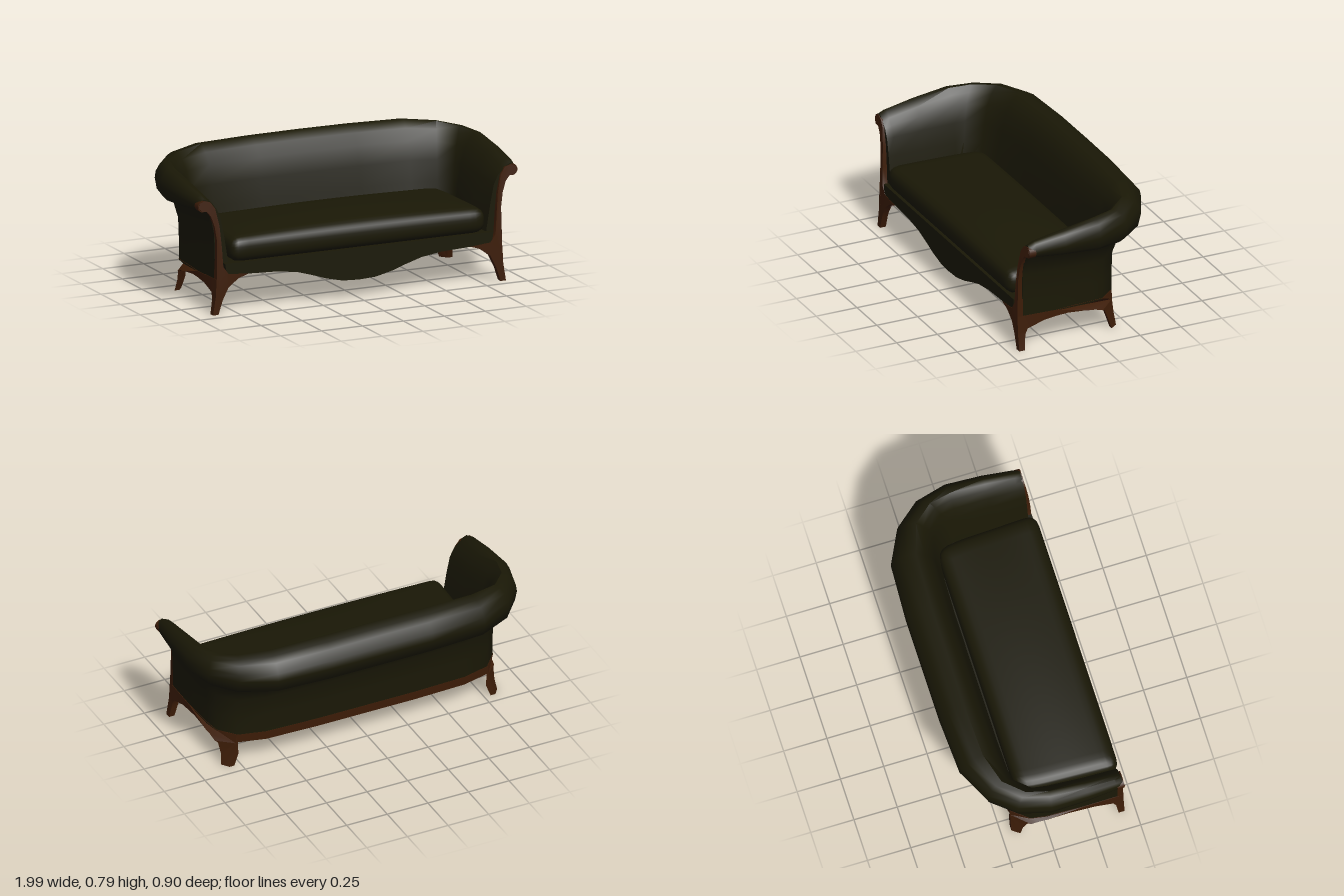
import * as THREE from 'three';
import { mergeVertices, toCreasedNormals } from 'three/addons/utils/BufferGeometryUtils.js';

// Half of the U-shaped plan: x, z, outward angle (degrees), roll width blend, roll height blend
const HALF = [
  [0.87, 0.41, 0, -0.05, -0.18], [0.87, 0.37, 0, 0, 0], [0.87, 0.2, 0, 0.15, 0.3],
  [0.865, 0, 5, 0.25, 0.59], [0.85, -0.09, 47, 0.35, 0.67], [0.77, -0.185, 68, 0.52, 0.79],
  [0.61, -0.225, 83, 0.95, 0.93], [0.3, -0.235, 88, 1, 0.98], [0, -0.235, 90, 1, 1],
];
const PATH = [...HALF, ...HALF.slice(0, -1).reverse().map(([x, z, a, w, h]) => [-x, z, 180 - a, w, h])];

// Upholstery cross-sections (outward offset, height), from inner foot over the roll to outer foot
const ARM = [[-0.09, 0.2], [-0.08, 0.3], [-0.055, 0.45], [-0.035, 0.55], [-0.01, 0.61], [0.02, 0.645],
  [0.045, 0.67], [0.07, 0.677], [0.09, 0.665], [0.102, 0.645], [0.105, 0.62], [0.1, 0.6],
  [0.085, 0.588], [0.06, 0.587], [0.03, 0.565], [0.005, 0.45], [0, 0.3], [0, 0.19]];
const BACK = [[-0.105, 0.2], [-0.09, 0.3], [-0.065, 0.45], [-0.045, 0.57], [-0.02, 0.68], [0.02, 0.745],
  [0.07, 0.785], [0.125, 0.775], [0.165, 0.75], [0.205, 0.7], [0.215, 0.655], [0.19, 0.575],
  [0.135, 0.54], [0.085, 0.535], [0.05, 0.51], [0.005, 0.42], [0, 0.3], [0, 0.19]];

const lerp = THREE.MathUtils.lerp;

// Sweeps a closed section along plan stations and caps both ends
function sweep(stations, section) {
  const pos = [], index = [];
  const loops = stations.map((s) => section(s));
  const n = loops[0].length;
  stations.forEach(([x, z, deg], i) => {
    const a = THREE.MathUtils.degToRad(deg);
    for (const [d, y] of loops[i]) pos.push(x + d * Math.cos(a), y, z - d * Math.sin(a));
  });
  for (let i = 0; i < stations.length - 1; i++) {
    for (let j = 0; j < n; j++) {
      const a = i * n + j, b = i * n + (j + 1) % n;
      index.push(a, b, a + n, b, b + n, a + n);
    }
  }
  const last = (stations.length - 1) * n;
  const contour = loops[0].map(([d, y]) => new THREE.Vector2(d, y));
  for (const [a, b, c] of THREE.ShapeUtils.triangulateShape(contour, [])) {
    index.push(a, b, c, last + a, last + c, last + b);
  }
  const g = new THREE.BufferGeometry();
  g.setAttribute('position', new THREE.Float32BufferAttribute(pos, 3));
  g.setIndex(index);
  return toCreasedNormals(g, 0.9);
}

// Extrudes an outline and moves every vertex by a rule
function plate(points, depth, rule) {
  const shape = new THREE.Shape(points.map(([x, y]) => new THREE.Vector2(x, y)));
  const g = new THREE.ExtrudeGeometry(shape, { depth, bevelEnabled: false });
  return toCreasedNormals(bend(g, rule), 0.7);
}

function bend(g, rule) {
  const p = g.attributes.position, v = new THREE.Vector3();
  for (let i = 0; i < p.count; i++) {
    rule(v.fromBufferAttribute(p, i));
    p.setXYZ(i, v.x, v.y, v.z);
  }
  g.computeVertexNormals();
  return g;
}

// Plan x of the side at a given z
function sideX(z) {
  for (let i = 0; i < 5; i++) {
    const [x0, z0] = HALF[i], [x1, z1] = HALF[i + 1];
    if (z >= z1) return lerp(x0, x1, Math.max(0, (z0 - z) / (z0 - z1)));
  }
  return HALF[5][0];
}

// Plump cushion: a subdivided box rounded by radius, then crowned and narrowed at the back corners
function cushionGeometry() {
  let g = new THREE.BoxGeometry(1.56, 0.145, 0.585, 44, 8, 18);
  g.deleteAttribute('uv');
  g.deleteAttribute('normal');
  g = mergeVertices(g);
  const r = 0.06, half = new THREE.Vector3(0.78 - r, 0.0725 - r, 0.2925 - r);
  const core = new THREE.Vector3();
  return bend(g, (v) => {
    core.copy(v).clamp(half.clone().negate(), half);
    v.sub(core);
    if (v.lengthSq() > 0) v.setLength(r);
    v.add(core);
    const u = v.x / 0.78, w = v.z / 0.2925;
    if (v.y > 0) v.y += 0.032 * (1 - u * u) * (1 - w * w * 0.9);
    v.x *= 1 - 0.03 * (0.5 - w / 2) - 0.03 * Math.max(0, -w) ** 4;
    v.y += 0.3525;
    v.z += 0.155;
  });
}

export function createModel() {
  const model = new THREE.Group();
  model.name = 'sofa';
  const fabric = new THREE.MeshStandardMaterial({ color: 0x1a1806, side: THREE.DoubleSide });
  fabric.name = 'dark olive fabric';
  const wood = new THREE.MeshStandardMaterial({ color: 0x3c1c07, side: THREE.DoubleSide });
  wood.name = 'brown wood';
  const add = (name, geometry, material, mirrored = false) => {
    const mesh = new THREE.Mesh(geometry, material);
    mesh.name = name;
    if (mirrored) mesh.scale.x = -1;
    model.add(mesh);
    return mesh;
  };

  // Upholstered arms and back with the rolled top
  add('backAndArms', sweep(PATH, ([, , , w, h]) =>
    ARM.map(([d, y], i) => [lerp(d, BACK[i][0], w), lerp(y, BACK[i][1], h)])), fabric);

  // Thin seat deck and cushion
  const deck = add('seatDeck', new THREE.BoxGeometry(1.58, 0.015, 0.55), fabric);
  deck.position.set(0, 0.275, 0.135);
  add('seatCushion', cushionGeometry(), fabric);

  // Front apron with a wavy lower edge
  const wave = [[0.81, 0.225], [0.68, 0.215], [0.5, 0.207], [0.38, 0.19], [0.28, 0.16],
    [0.2, 0.133], [0.1, 0.11], [0, 0.105]];
  const lower = [...wave, ...wave.slice(0, -1).reverse().map(([x, y]) => [-x, y])];
  add('frontApron', plate([[-0.82, 0.285], [0.82, 0.285], ...lower], 0.035, (v) => { v.z += 0.403; }), fabric);

  // Wooden rail along the back
  add('backRail', sweep(PATH.slice(5, -5), () =>
    [[-0.01, 0.145], [-0.01, 0.195], [0.002, 0.195], [0, 0.145]]), wood);

  // Side rail with its front and rear feet, drawn in z and y; the rail is thinner than the feet
  const sideOutline = [[0.44, 0], [0.405, 0], [0.4, 0.05], [0.395, 0.09], [0.38, 0.12], [0.28, 0.15],
    [0.2, 0.16], [0.13, 0.163], [0.04, 0.155], [0, 0.149], [-0.04, 0.143], [-0.09, 0.126], [-0.105, 0.12],
    [-0.13, 0.06], [-0.148, 0], [-0.19, 0], [-0.187, 0.07], [-0.185, 0.14], [-0.185, 0.197], [-0.13, 0.197],
    [-0.09, 0.197], [-0.04, 0.2], [0, 0.202], [0.1, 0.2], [0.2, 0.195], [0.41, 0.2], [0.44, 0.2], [0.44, 0.1]];
  const sideRail = plate(sideOutline, 0.03, (v) => {
    const z = v.x, inset = v.z * (v.y > 0.125 ? 0.4 : 1);
    const splay = (z < 0 ? 0.045 : 0.022) * (1 - Math.min(1, v.y / 0.2)) ** 2;
    v.set(sideX(z) + 0.003 + splay - inset, v.y, z);
  });

  // Front leg flowing up into the arm facing, thinning towards the top, drawn in x and y
  const facing = plate([[0.892, 0], [0.88, 0.06], [0.873, 0.12], [0.872, 0.2], [0.868, 0.42], [0.88, 0.5],
    [0.9, 0.56], [0.925, 0.59], [0.955, 0.593], [0.972, 0.615], [0.966, 0.638], [0.935, 0.65], [0.9, 0.64],
    [0.872, 0.6], [0.85, 0.5], [0.839, 0.38], [0.832, 0.27], [0.8, 0.226], [0.68, 0.215], [0.74, 0.195],
    [0.8, 0.15], [0.836, 0.08], [0.862, 0]], 0.035, (v) => {
    v.z = 0.405 + v.z * (1 - 0.7 * Math.max(0, (v.y - 0.2) / 0.45) ** 2);
  });

  // Small scroll ending each arm roll
  const scroll = new THREE.CylinderGeometry(0.033, 0.033, 0.04, 14).rotateX(Math.PI / 2).translate(0.944, 0.62, 0.395);

  for (const [side, mirrored] of [['left', false], ['right', true]]) {
    add(side + 'SideRailAndFeet', sideRail, wood, mirrored);
    add(side + 'FrontLegAndArmFacing', facing, wood, mirrored);
    add(side + 'ArmScroll', scroll, wood, mirrored);
  }
  return model;
}
